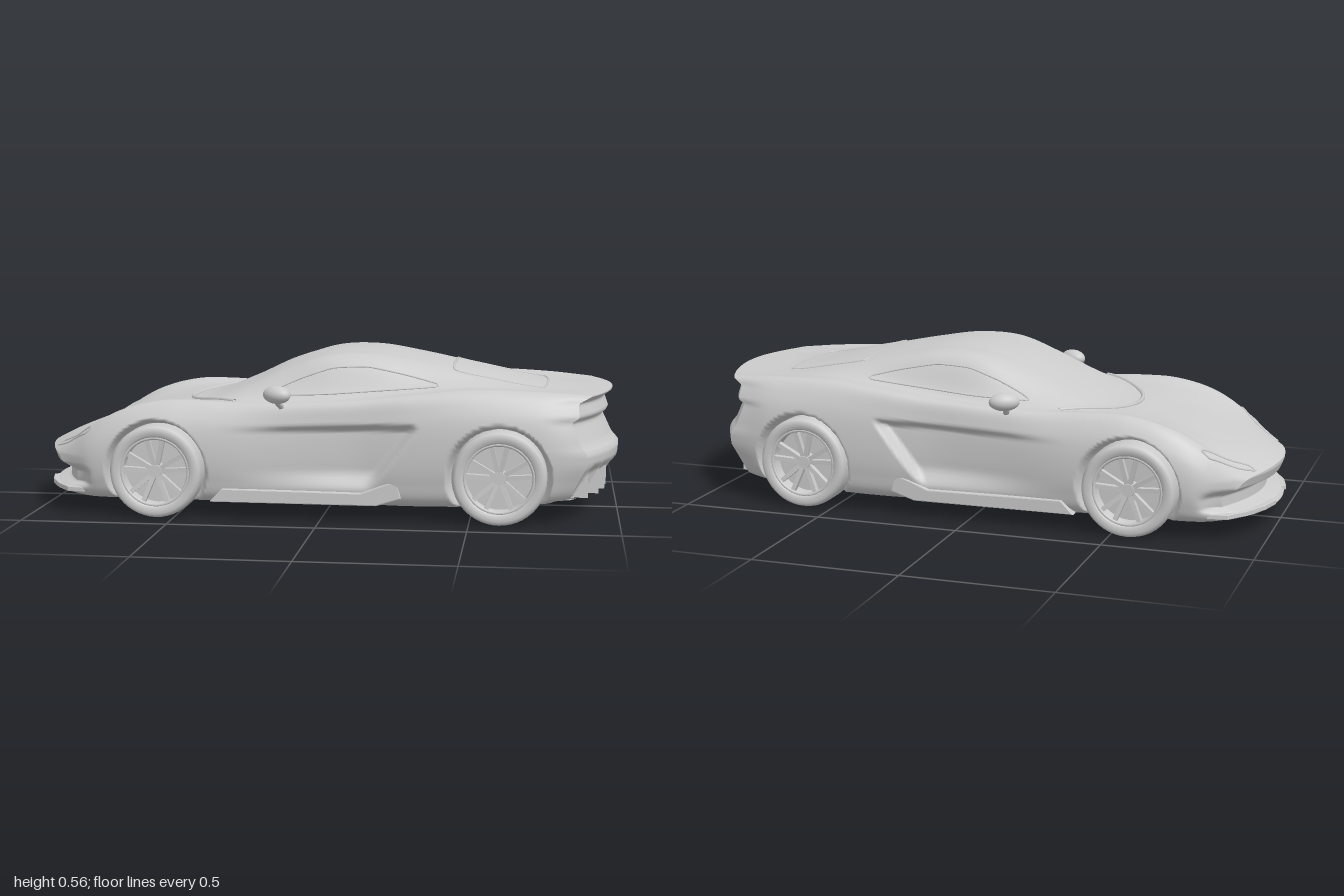
import * as THREE from 'three';

const mat = new THREE.MeshStandardMaterial({ color: 0xcccccc, side: THREE.DoubleSide });
const { smoothstep: ss, lerp } = THREE.MathUtils;
const WHEELS = [-0.56, 0.6], WHEEL_Y = 0.158;

// Body stations: s, bottom, half width, shoulder z/y, glass base z/y, roof edge z/y, centre top
const STATIONS = [
  [-1, .08, .31, .28, .195, .22, .205, .12, .21, .212],
  [-.93, .07, .345, .31, .235, .25, .24, .14, .245, .247],
  [-.85, .065, .38, .33, .285, .26, .28, .15, .278, .278],
  [-.7, .065, .402, .345, .355, .27, .345, .15, .33, .328],
  [-.55, .065, .405, .34, .393, .27, .375, .15, .365, .362],
  [-.42, .063, .4, .34, .395, .28, .385, .17, .385, .39],
  [-.28, .06, .395, .35, .385, .305, .395, .21, .43, .445],
  [-.14, .06, .39, .36, .385, .318, .4, .225, .485, .51],
  [0, .06, .39, .365, .392, .32, .408, .235, .53, .548],
  [.15, .06, .392, .367, .402, .315, .42, .235, .535, .556],
  [.3, .06, .405, .37, .42, .31, .435, .23, .513, .536],
  [.5, .065, .415, .36, .44, .3, .45, .21, .478, .497],
  [.75, .077, .408, .34, .437, .27, .437, .18, .437, .443],
  [.975, .085, .375, .32, .422, .25, .428, .15, .43, .432],
];
const S0 = -1, S1 = 0.975;
const stations = new THREE.CubicInterpolant(
  STATIONS.map(r => r[0]), STATIONS.flatMap(r => r.slice(1)), 9);

// Fore-and-aft relief of the nose and tail, as [height, offset]
const NOSE = [[.075, 0], [.09, .01], [.105, .06], [.145, .06], [.17, .012], [.2, 0], [.22, 0]];
const TAIL = [[.08, -.05], [.1, -.04], [.2, .022], [.245, .025], [.26, .005], [.345, -.035], [.36, -.012], [.405, -.028], [.425, 0]];
function along(table, y) {
  if (y <= table[0][0]) return table[0][1];
  for (let i = 1; i < table.length; i++) {
    const [y0, v0] = table[i - 1], [y1, v1] = table[i];
    if (y <= y1) return lerp(v0, v1, (y - y0) / (y1 - y0));
  }
  return table[table.length - 1][1];
}

// Upper half of a cross-section from bottom centre to top centre
const HALF = 81;
function halfSection(s) {
  const [b, w, ws, ys, zc, yc, zr, yr, yt] = stations.evaluate(s), h = ys - b;
  const curve = new THREE.CatmullRomCurve3([
    [0, b], [w * .9, b], [w * .98, b + h * .22], [w, b + h * .58], [w - (w - ws) * .3, ys - h * .17],
    [ws, ys], [zc, yc], [zr, yr], [zr * .5, lerp(yr, yt, .78)], [0, yt],
  ].map(([z, y]) => new THREE.Vector3(0, y, z)));
  return Array.from({ length: HALF + 1 }, (_, j) => curve.getPoint(j / HALF));
}

// Bow the ends, shape nose and tail, press in the door scoops and wheel arches
function place(s, y, z) {
  const a = Math.abs(z), bow = Math.max(0, (Math.abs(s) - .6) / .4) ** 2;
  let x = s - Math.sign(s) * .9 * z * z * bow;
  const tail = ss(s, .7, S1), nose = 1 - ss(s, -1, -.8);
  x += along(NOSE, y) * nose + along(TAIL, y) * tail;
  const channel = Math.sqrt(Math.abs(Math.sin(Math.PI * z / .09)));
  x -= .06 * channel * tail * (1 - ss(y, .16, .2)) * (1 - ss(a, .31, .35));

  const edge = .2 + (y - .15) * .75, top = .325 + .03 * x;
  const scoop = .04 * ss(x, -.38, .15) * (1 - ss(x, edge - .03, edge + .005))
    * (1 - ss(y, top - .025, top)) * ss(y, .1, .17) * ss(a, .3, .36);
  let out = a - scoop;
  for (const wx of WHEELS) {
    const d = Math.hypot(x - wx, y - WHEEL_Y);
    out = lerp(Math.min(out, .325), out, ss(d, .158, .175));
  }
  return [x, y, Math.sign(z) * out];
}

// Surface grid whose normal is du x dv
function grid(nu, nv, point) {
  const pos = [], index = [], row = nv + 1;
  for (let i = 0; i <= nu; i++) for (let j = 0; j <= nv; j++) pos.push(...point(i, j));
  for (let i = 0; i < nu; i++) for (let j = 0; j < nv; j++) {
    const p = i * row + j;
    index.push(p, p + row, p + 1, p + 1, p + row, p + row + 1);
  }
  const g = new THREE.BufferGeometry();
  g.setAttribute('position', new THREE.Float32BufferAttribute(pos, 3));
  g.setIndex(index);
  g.computeVertexNormals();
  return g;
}

function add(parent, name, geometry, x = 0, y = 0, z = 0) {
  const m = new THREE.Mesh(geometry, mat);
  m.name = name;
  m.position.set(x, y, z);
  parent.add(m);
  return m;
}

function makeWheel() {
  const wheel = new THREE.Group();
  const profile = [[.11, -.07], [.145, -.07], [.156, -.058], [.158, -.03], [.158, .045], [.153, .062],
    [.142, .069], [.124, .066], [.119, .06], [.112, .055], [.11, .0]].map(p => new THREE.Vector2(...p));
  add(wheel, 'tyre', new THREE.LatheGeometry(profile, 48).rotateX(Math.PI / 2));
  add(wheel, 'brakeDisc', new THREE.CylinderGeometry(.112, .112, .07, 40).rotateX(Math.PI / 2), 0, 0, -.025);
  add(wheel, 'rim', new THREE.TorusGeometry(.115, .006, 8, 48), 0, 0, .055);
  add(wheel, 'hub', new THREE.CylinderGeometry(.022, .028, .05, 20).rotateX(Math.PI / 2), 0, 0, .025);
  for (let k = 0; k < 10; k++) {
    const a = Math.PI / 2 + Math.floor(k / 2) * Math.PI * .4 + (k % 2 ? .24 : -.24);
    const spoke = new THREE.BoxGeometry(.1, .015, .02).translate(.065, 0, 0).rotateY(-.1).rotateZ(a);
    add(wheel, 'spoke', spoke, 0, 0, .035);
  }
  return wheel;
}

export function createModel() {
  const car = new THREE.Group();
  car.name = 'sportsCar';

  // Body shell and its two ends
  const NS = 230;
  const rings = Array.from({ length: NS + 1 }, (_, i) => halfSection(lerp(S0, S1, i / NS)));
  const shell = add(car, 'bodyShell', grid(NS, 2 * HALF, (i, j) => {
    const p = rings[i][j <= HALF ? j : 2 * HALF - j];
    return place(lerp(S0, S1, i / NS), p.y, j <= HALF ? p.z : -p.z);
  }));
  const NZ = 108;
  const end = (s, ring, j, k) => place(s, ring[j].y, ring[j].z * (2 * k / NZ - 1));
  add(car, 'tailPanel', grid(HALF, NZ, (j, k) => end(S1, rings[NS], j, k)));
  add(car, 'nosePanel', grid(NZ, HALF, (k, j) => end(S0, rings[0], j, k)));

  // Thin trim lines laid on the shell, found by casting rays onto it
  shell.updateMatrixWorld();
  const ray = new THREE.Raycaster();
  function trim(name, points, radius, closed, from, dir) {
    const hits = [];
    for (const p of points) {
      ray.set(from(p), dir);
      const hit = ray.intersectObject(shell)[0];
      if (hit) hits.push(hit.point);
    }
    if (hits.length < 3) return;
    add(car, name, new THREE.TubeGeometry(new THREE.CatmullRomCurve3(hits, closed), 80, radius, 6, closed));
  }
  const outline = (pts, n) => new THREE.CatmullRomCurve3(
    pts.map(([a, b]) => new THREE.Vector3(a, b, 0)), true, 'catmullrom', .2).getSpacedPoints(n).slice(0, n);
  const above = p => new THREE.Vector3(p.x, 2, p.y), down = new THREE.Vector3(0, -1, 0);
  const cowl = Array.from({ length: 31 }, (_, i) => {
    const z = lerp(-.31, .31, i / 30);
    return new THREE.Vector2(-.5 + .2 * (Math.abs(z) / .31) ** 2.2, z);
  });
  trim('windscreenCowl', cowl, .008, false, above, down);
  trim('engineCover', outline([[.44, -.19], [.6, -.185], [.74, -.17], [.755, 0], [.74, .17], [.6, .185], [.44, .19], [.435, 0]], 48),
    .004, true, above, down);
  for (const side of [1, -1]) {
    trim('sideWindow', outline([[-.19, .415], [-.08, .468], [.03, .505], [.15, .51], [.28, .485], [.4, .452], [.2, .435], [0, .42]], 48),
      .003, true, p => new THREE.Vector3(p.x, p.y, side * 2), new THREE.Vector3(0, 0, -side));
    trim('headlight', outline([[-.945, side * .215], [-.9, side * .265], [-.82, side * .335], [-.79, side * .335], [-.85, side * .275], [-.92, side * .215]], 30),
      .004, true, above, down);
  }

  // Front splitter with forward corners
  const half = [[-.9, 0], [-.955, .06], [-.995, .1], [-.975, .18], [-.93, .27], [-.88, .335], [-.82, .35]];
  const splitterShape = new THREE.Shape([...half, ...half.slice(1).reverse().map(([x, z]) => [x, -z])]
    .map(p => new THREE.Vector2(...p)));
  add(car, 'frontSplitter', new THREE.ExtrudeGeometry(splitterShape,
    { depth: .012, bevelSize: .003, bevelThickness: .003, bevelSegments: 2 }).rotateX(Math.PI / 2), 0, .088);

  // Side skirts, mirrors
  const skirtShape = new THREE.Shape([[-.37, .06], [.19, .06], [.27, .085], [.26, .13], [.23, .13], [.14, .095], [-.33, .1]]
    .map(p => new THREE.Vector2(...p)));
  for (const side of [1, -1]) {
    add(car, 'sideSkirt', new THREE.ExtrudeGeometry(skirtShape,
      { depth: .03, bevelSize: .004, bevelThickness: .004, bevelSegments: 2 }), 0, 0, side * .372 - .015);
    const mirror = new THREE.Group();
    mirror.name = 'wingMirror';
    mirror.position.set(-.14, .428, side * .405);
    mirror.rotation.y = side * -.5;
    const housing = add(mirror, 'mirrorHousing', new THREE.SphereGeometry(1, 24, 16));
    housing.scale.set(.052, .03, .034);
    const stalk = new THREE.CatmullRomCurve3([[0, -.01, 0], [-.01, -.03, -side * .02], [-.015, -.05, -side * .05]]
      .map(p => new THREE.Vector3(...p)));
    add(mirror, 'mirrorStalk', new THREE.TubeGeometry(stalk, 10, .011, 8));
    car.add(mirror);
  }

  // Diffuser fins
  for (let k = -3; k <= 3; k++) {
    const z = k * .09;
    add(car, 'diffuserFin', new THREE.BoxGeometry(.1, .09, .008), .91 - .9 * z * z, .125, z);
  }

  // Four wheels
  for (const x of WHEELS) for (const side of [1, -1]) {
    const wheel = makeWheel();
    wheel.name = x < 0 ? 'frontWheel' : 'rearWheel';
    wheel.position.set(x, WHEEL_Y, side * .341);
    if (side < 0) wheel.rotation.y = Math.PI;
    car.add(wheel);
  }
  return car;
}
